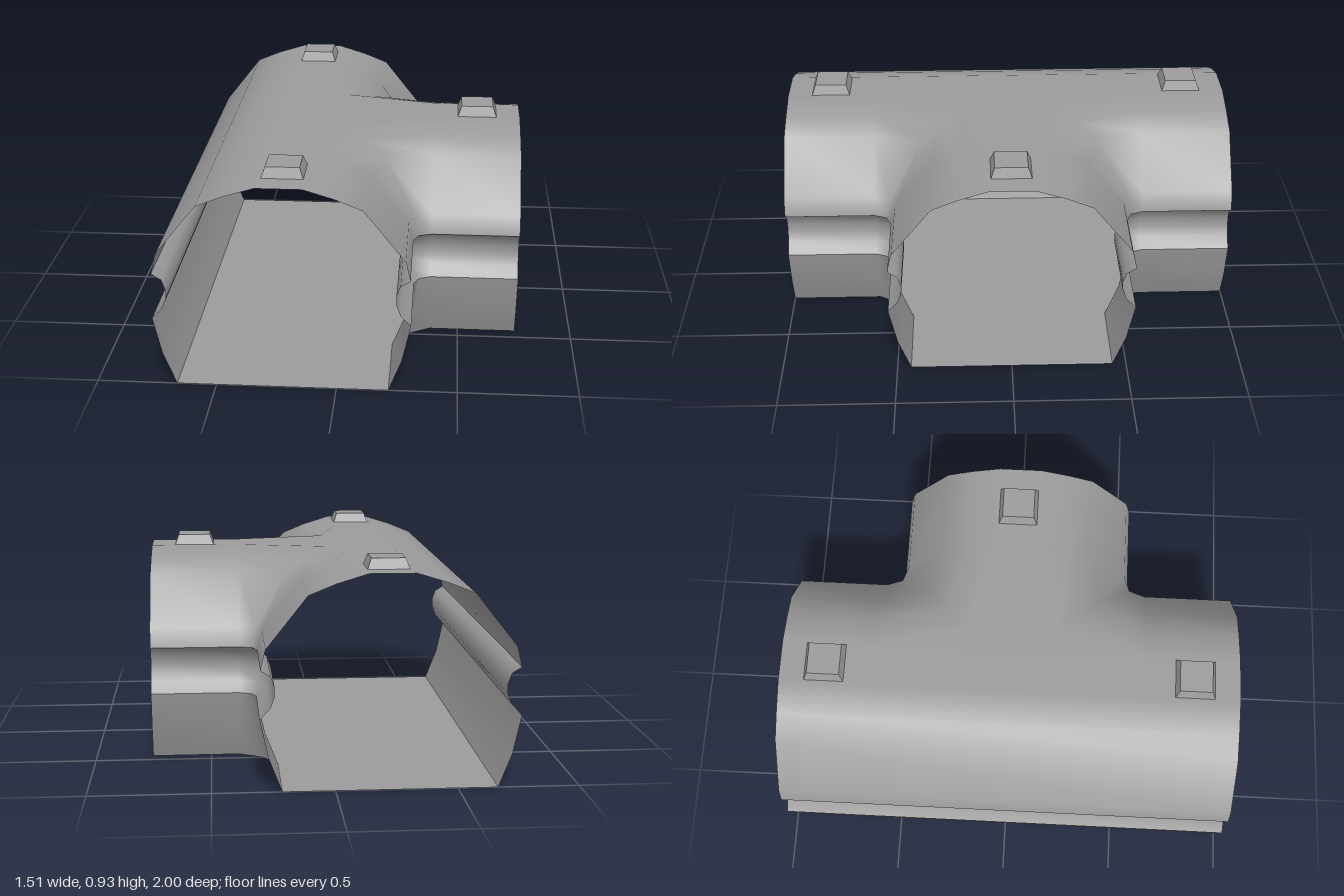
import * as THREE from 'three';

const AXIS_X = -0.225;       // centre line of the main tunnel
const BRANCH_END = 0.755;    // open end of the side branch
const HALF_LENGTH = 1;       // main tunnel runs z = -1..1
const ROOF_Y = 0.885;
const CORNER = { x: 0.375, z: 0.6 };  // where the cut inner corner begins and ends

// Half cross-section as [distance from centre line, height], one list per smooth band
const LOWER = [[0.44, 0], [0.495, 0.14], [0.53, 0.3]];
const GROOVE = [[0.53, 0.3], [0.487, 0.345], [0.47, 0.39], [0.469, 0.43], [0.485, 0.475], [0.525, 0.5]];
const VAULT = [[0.525, 0.5], [0.505, 0.585], [0.335, 0.8], [0.225, 0.845], [0.095, ROOF_Y]];

const STUDS = [[-0.222, 0.805], [-0.222, -0.805], [0.565, 0]];
const STUD_BASE = 0.086, STUD_TOP = 0.07, STUD_HEIGHT = 0.044;

const GREY = 0x9b9b9b;
const material = new THREE.MeshStandardMaterial({ color: GREY, side: THREE.DoubleSide });
const flatMaterial = new THREE.MeshStandardMaterial({ color: GREY, side: THREE.DoubleSide, flatShading: true });

// Plan paths as [x, z] at distance d from the centre lines and height y.
// The corner turns in two facets, blunt at the floor and sharper towards the roof.
function frontCorner(d, y) {
  const x = AXIS_X + d;
  const cut = (CORNER.x - x) * (0.38 - 0.21 * y);
  return [[x, HALF_LENGTH], [x, CORNER.z], [x + cut, d + cut], [CORNER.x, d], [BRANCH_END, d]];
}
const backCorner = (d, y) => frontCorner(d, y).reverse().map(([x, z]) => [x, -z]);
const farWall = d => [[AXIS_X - d, -HALF_LENGTH], [AXIS_X - d, HALF_LENGTH]];

// Sweep one band of the cross-section along a plan path
function bandGeometry(profile, pathAt) {
  const positions = [], index = [];
  let n = 0;
  for (const [d, y] of profile) {
    const path = pathAt(d, y);
    n = path.length;
    for (const [x, z] of path) positions.push(x, y, z);
  }
  for (let i = 0; i < profile.length - 1; i++) {
    for (let j = 0; j < n - 1; j++) {
      const a = i * n + j, b = a + 1, c = a + n, e = c + 1;
      index.push(a, b, c, b, e, c);
    }
  }
  const g = new THREE.BufferGeometry();
  g.setAttribute('position', new THREE.Float32BufferAttribute(positions, 3));
  g.setIndex(index);
  g.computeVertexNormals();
  // the vault runs smoothly into the flat crown
  if (profile === VAULT) {
    const normal = g.getAttribute('normal');
    for (let k = normal.count - n; k < normal.count; k++) normal.setXYZ(k, 0, 1, 0);
  }
  return g;
}

// Flat T-shaped plate bounded by the plan paths; side 1 faces up, -1 faces down
function plateGeometry(d, y, side, holes) {
  const toShape = ([x, z]) => new THREE.Vector2(x, -side * z);
  const shape = new THREE.Shape([...frontCorner(d, y), ...backCorner(d, y), ...farWall(d)].map(toShape));
  for (const [x, z] of holes) {
    const s = STUD_BASE;
    const square = [[x - s, z - s], [x + s, z - s], [x + s, z + s], [x - s, z + s]];
    shape.holes.push(new THREE.Path(square.map(toShape)));
  }
  return new THREE.ShapeGeometry(shape).rotateX(-side * Math.PI / 2).translate(0, y, 0);
}

function addMesh(parent, name, geometry, mat = material) {
  const mesh = new THREE.Mesh(geometry, mat);
  mesh.name = name;
  parent.add(mesh);
}

export function createModel() {
  const model = new THREE.Group();
  model.name = 'tunnelJunction';

  // Walls: two cut corners beside the branch and one straight wall opposite
  const paths = { frontCorner, backCorner, farWall };
  const bands = { LowerWall: LOWER, Groove: GROOVE, Vault: VAULT };
  for (const [place, pathAt] of Object.entries(paths)) {
    const wall = new THREE.Group();
    wall.name = place;
    for (const [part, profile] of Object.entries(bands)) {
      addMesh(wall, place + part, bandGeometry(profile, pathAt));
    }
    model.add(wall);
  }

  // Floor and flat crown of the roof
  addMesh(model, 'floor', plateGeometry(0.44, 0, -1, []));
  addMesh(model, 'roofCrown', plateGeometry(0.095, ROOF_Y, 1, STUDS));

  // Hollow tapered square studs over the roof openings
  for (const [x, z] of STUDS) {
    const stud = new THREE.Group();
    stud.name = 'roofStud';
    const sides = new THREE.CylinderGeometry(STUD_TOP * Math.SQRT2, STUD_BASE * Math.SQRT2, STUD_HEIGHT, 4, 1, true);
    addMesh(stud, 'studSides', sides.rotateY(Math.PI / 4).translate(0, STUD_HEIGHT / 2, 0), flatMaterial);
    const top = new THREE.PlaneGeometry(2 * STUD_TOP, 2 * STUD_TOP);
    addMesh(stud, 'studTop', top.rotateX(-Math.PI / 2).translate(0, STUD_HEIGHT, 0), flatMaterial);
    stud.position.set(x, ROOF_Y, z);
    model.add(stud);
  }

  return model;
}
